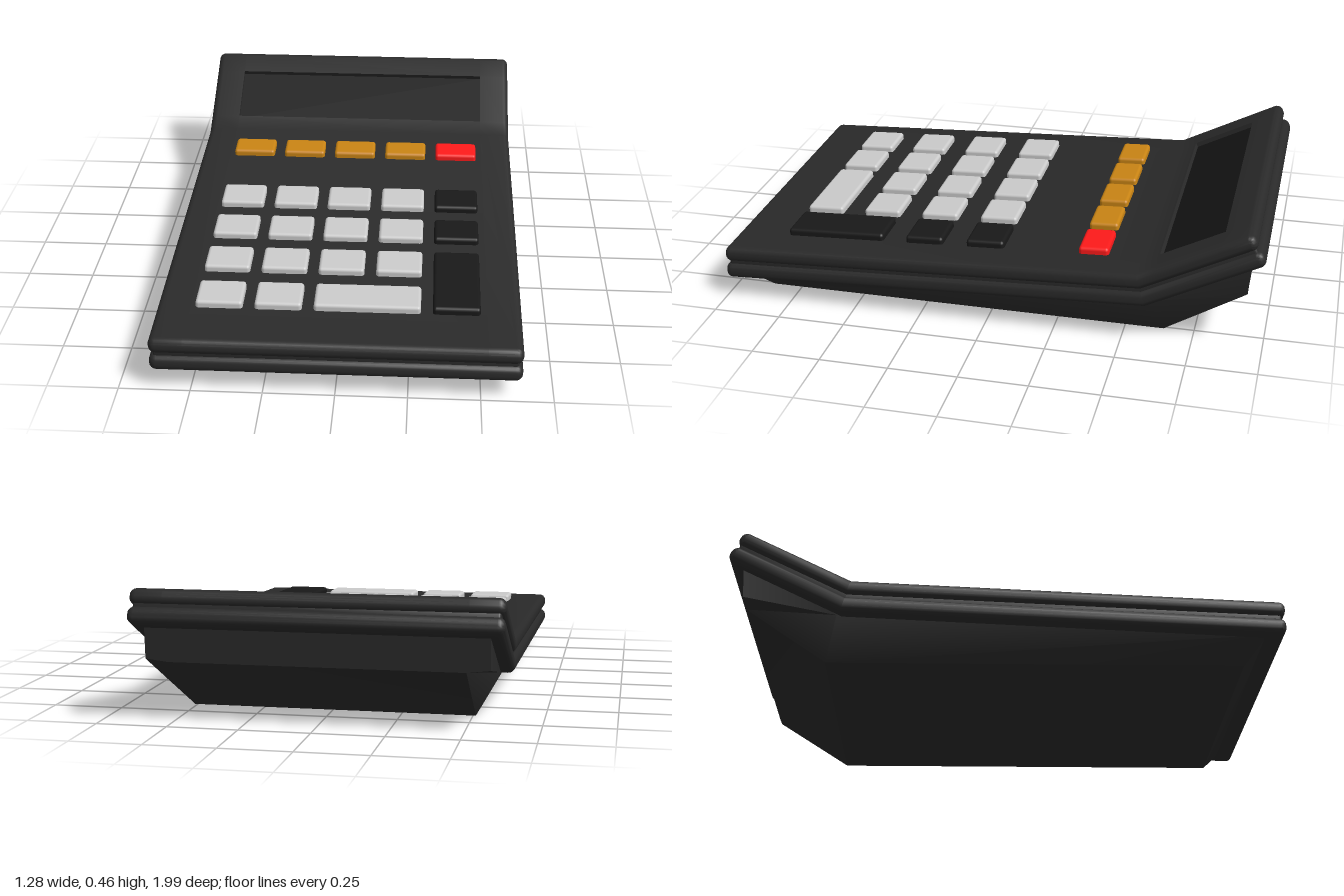
import * as THREE from 'three';
import { RoundedBoxGeometry } from 'three/addons/geometries/RoundedBoxGeometry.js';
import { toCreasedNormals } from 'three/addons/utils/BufferGeometryUtils.js';

const paint = (color) => new THREE.MeshStandardMaterial({ color });
const shellMat = paint(0x2a2a2a), glassMat = paint(0x141414), darkMat = paint(0x191919);
const greyMat = paint(0xcccccc), amberMat = paint(0xc98414), redMat = paint(0xff1a1a);

// Side-on outline of the top face, as (z, y): front end, bend, back end
const FRONT = new THREE.Vector2(1, 0.2);
const BEND = new THREE.Vector2(-0.55, 0.27);
const BACK = new THREE.Vector2(-0.945, 0.47);
const normalOf = (a, b) => new THREE.Vector2(b.y - a.y, a.x - b.x).normalize();
const N1 = normalOf(FRONT, BEND), N2 = normalOf(BEND, BACK);
const MITRE = N1.clone().add(N2).divideScalar(1 + N1.dot(N2));
const below = (p, n, d) => p.clone().addScaledVector(n, -d);

// Skin a row of closed cross-sections, running from -x to +x, and cap both ends
function loft(rings) {
  const pos = [], idx = [], n = rings[0].pts.length;
  for (const { x, pts } of rings) for (const p of pts) pos.push(x, p.y, p.x);
  for (let i = 0; i < rings.length - 1; i++) {
    for (let j = 0; j < n; j++) {
      const a = i * n + j, b = i * n + (j + 1) % n;
      idx.push(a, a + n, b, b, a + n, b + n);
    }
  }
  const last = (rings.length - 1) * n;
  for (const [a, b, c] of THREE.ShapeUtils.triangulateShape(rings[0].pts.slice(), [])) idx.push(a, b, c);
  for (const [a, b, c] of THREE.ShapeUtils.triangulateShape(rings[rings.length - 1].pts.slice(), [])) {
    idx.push(last + a, last + c, last + b);
  }
  const g = new THREE.BufferGeometry();
  g.setAttribute('position', new THREE.Float32BufferAttribute(pos, 3));
  g.setIndex(idx);
  return toCreasedNormals(g, 0.6);
}

const WINDOW = { from: 0.17, to: 0.74, half: 0.52, depth: 0.022 };

// Bent plate between depths d0 and d1 under the top face, all edges rounded by r
function bentPlate({ d0, d1, half, r, inset = 0, hasWindow = false }) {
  const a1 = Math.atan2(N1.y, N1.x), a2 = Math.atan2(N2.y, N2.x), q = Math.PI / 2;
  const along = new THREE.Vector2(N2.y, -N2.x);
  const profile = (e, sunk) => {
    const pts = [];
    const arc = (c, from, to) => {
      for (let i = 0; i <= 5; i++) {
        const a = from + (to - from) * i / 5;
        pts.push(new THREE.Vector2(c.x + (r - e) * Math.cos(a), c.y + (r - e) * Math.sin(a)));
      }
    };
    const frontAt = (d) => new THREE.Vector2(FRONT.x - inset - r, FRONT.y - d);
    const backAt = (d) => below(BACK, N2, d).addScaledVector(along, r + inset);
    arc(frontAt(d1 - r), a1 - 2 * q, 0);
    arc(frontAt(d0 + r), 0, a1);
    pts.push(below(BEND, MITRE, d0 + e));
    if (hasWindow) {
      for (const [t, s] of [[WINDOW.from, 0], [WINDOW.from, sunk], [WINDOW.to, sunk], [WINDOW.to, 0]]) {
        pts.push(below(BEND.clone().lerp(BACK, t), N2, d0 + e + s));
      }
    }
    arc(backAt(d0 + r), a2, a2 + q);
    arc(backAt(d1 - r), a2 + q, a2 + 2 * q);
    pts.push(below(BEND, MITRE, d1 - e));
    return pts;
  };
  const end = [80, 60, 40, 20, 0].map((deg) => {
    const a = deg * Math.PI / 180;
    return { x: half - r + r * Math.sin(a), pts: profile(r * (1 - Math.cos(a)), 0) };
  });
  if (hasWindow) {
    end.push({ x: WINDOW.half, pts: profile(0, 0) }, { x: WINDOW.half, pts: profile(0, WINDOW.depth) });
  }
  const leftToRight = end.map(({ x, pts }) => ({ x: -x, pts }));
  return loft([...leftToRight, ...end.slice().reverse()]);
}

// Tapered underside: flat foot in the middle, sides rising to the rim
function baseTub() {
  const section = (list) => list.map(([z, y]) => new THREE.Vector2(z, y));
  const mid = section([[-0.64, 0], [0.86, 0], [0.94, 0.09], [-0.575, 0.165], [-0.945, 0.345], [-0.935, 0.21]]);
  const side = section([[-0.6, 0.15], [0.93, 0.085], [0.94, 0.09], [-0.575, 0.165], [-0.945, 0.345], [-0.937, 0.22]]);
  return loft([{ x: -0.59, pts: side }, { x: -0.51, pts: mid }, { x: 0.51, pts: mid }, { x: 0.59, pts: side }]);
}

export function createModel() {
  const model = new THREE.Group();
  const add = (name, geometry, material) => {
    const mesh = new THREE.Mesh(geometry, material);
    mesh.name = name;
    model.add(mesh);
    return mesh;
  };

  // Casing: two plates with a groove between them, and the tub below
  add('upperShell', bentPlate({ d0: 0, d1: 0.058, half: 0.64, r: 0.025, hasWindow: true }), shellMat);
  add('seam', bentPlate({ d0: 0.03, d1: 0.095, half: 0.625, r: 0.01, inset: 0.015 }), shellMat);
  add('lowerShell', bentPlate({ d0: 0.066, d1: 0.126, half: 0.64, r: 0.025 }), shellMat);
  add('baseTub', baseTub(), shellMat);

  // Display glass, sunk in the sloping window
  const span = BEND.distanceTo(BACK) * (WINDOW.to - WINDOW.from);
  const glass = add('displayGlass', new THREE.BoxGeometry(WINDOW.half * 2, 0.008, span), glassMat);
  const centre = below(BEND.clone().lerp(BACK, (WINDOW.from + WINDOW.to) / 2), N2, 0.022);
  glass.position.set(0, centre.y, centre.x);
  glass.rotation.x = Math.atan2(N2.x, N2.y);

  // Keys, standing on the gently sloping front face
  const tilt = Math.atan2(N1.x, N1.y);
  const addKey = (name, x, z, w, d, material) => {
    const key = add(name, new RoundedBoxGeometry(w, 0.05, d, 2, 0.012), material);
    key.position.set(x, BEND.y - Math.tan(tilt) * (z - BEND.x), z);
    key.rotation.x = tilt;
  };
  const columns = [-0.42, -0.212, -0.004, 0.205, 0.413];
  const rows = [0.03, 0.262, 0.492, 0.722];
  const W = 0.166, D = 0.142;
  columns.forEach((x, c) => {
    addKey(c === 4 ? 'redKey' : 'amberKey', x, -0.374, W, 0.11, c === 4 ? redMat : amberMat);
    rows.forEach((z, r) => {
      if (c < 4 && (r < 3 || c < 2)) addKey('greyKey', x, z, W, D, greyMat);
      if (c === 4 && r < 2) addKey('darkKey', x, z, W, D, darkMat);
    });
  });
  addKey('wideGreyKey', (columns[2] + columns[3]) / 2, rows[3], 0.375, D, greyMat);
  addKey('tallDarkKey', columns[4], (rows[2] + rows[3]) / 2, W, 0.372, darkMat);
  return model;
}
